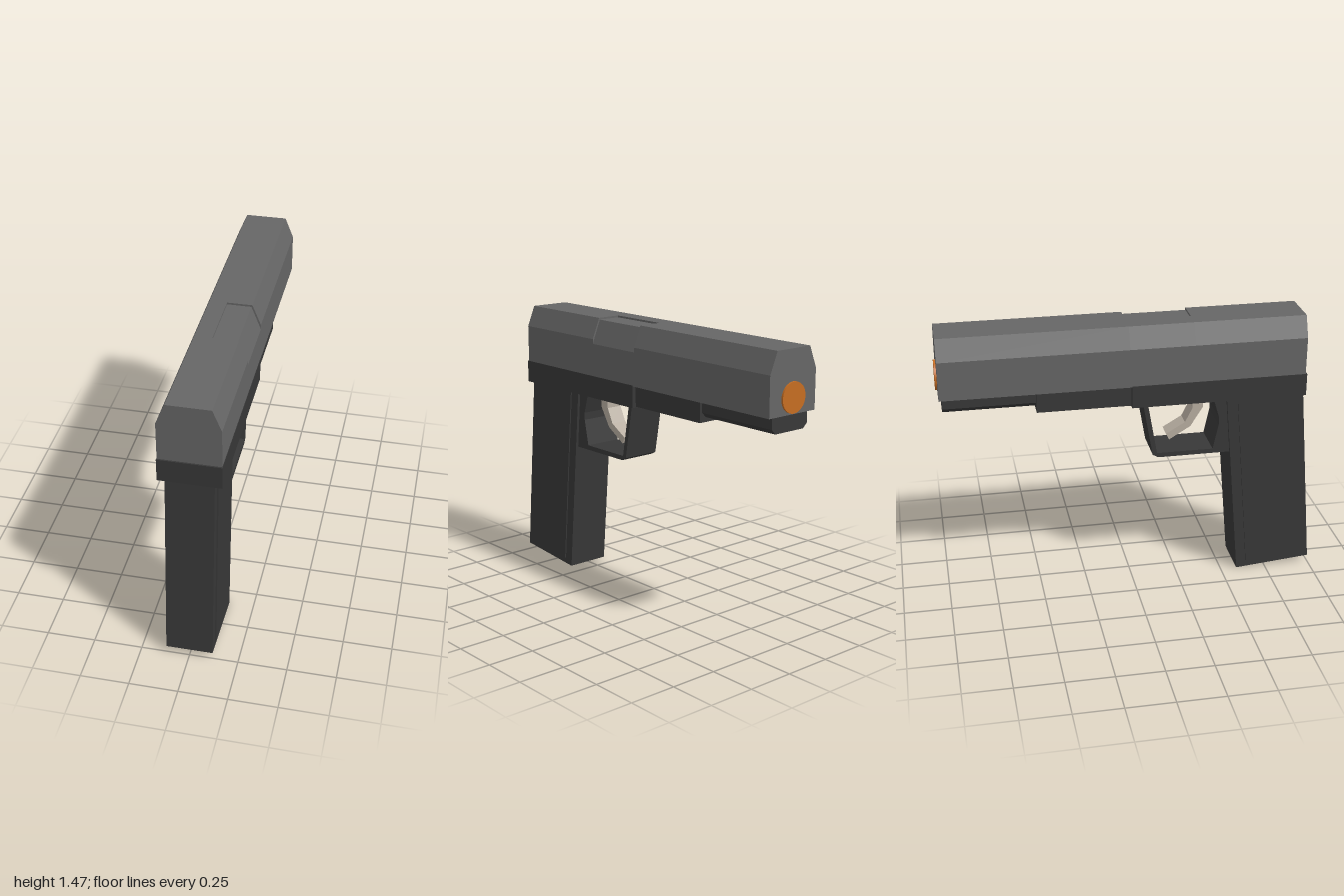
import * as THREE from 'three';

export function createModel() {
  const group = new THREE.Group();
  const material = (name, color) => {
    const m = new THREE.MeshStandardMaterial({ color });
    m.name = name;
    return m;
  };
  const slideGrey = material('slide grey', 0x666666);
  const frameBlack = material('frame black', 0x383838);
  const triggerTan = material('trigger tan', 0xb9afa2);
  const muzzleOrange = material('muzzle orange', 0xc66d22);

  const add = (name, geometry, mat) => {
    const mesh = new THREE.Mesh(geometry, mat);
    mesh.name = name;
    group.add(mesh);
  };
  const extrude = (points, depth) => new THREE.ExtrudeGeometry(
    new THREE.Shape(points.map(([x, y]) => new THREE.Vector2(x, y))),
    { depth, bevelEnabled: false });
  // Side profile of [z, y] points, extruded to x = -halfWidth..halfWidth
  const side = (points, halfWidth) =>
    extrude(points, halfWidth * 2).rotateY(-Math.PI / 2).translate(halfWidth, 0, 0);
  // Cross-section of [x, y] points, extruded from z0 to z1
  const section = (points, z0, z1) => extrude(points, z1 - z0).translate(0, 0, z0);

  // Slide with bevelled top, split around the shallow ejection port
  const full = [[-0.155, 1.16], [0.155, 1.16], [0.155, 1.365], [0.11, 1.475],
    [-0.11, 1.475], [-0.155, 1.365]];
  const port = [[-0.155, 1.16], [0.155, 1.16], [0.155, 1.34], [0.105, 1.465],
    [-0.02, 1.465], [-0.02, 1.475], [-0.11, 1.475], [-0.155, 1.365]];
  add('slideRear', section(full, 0.32, 0.91), slideGrey);
  add('ejectionPort', section(port, -0.02, 0.32), slideGrey);
  add('slideFront', section(full, -0.99, -0.02), slideGrey);

  // Muzzle disc
  add('muzzle', new THREE.CylinderGeometry(0.077, 0.077, 0.01, 32)
    .rotateX(Math.PI / 2).translate(0, 1.242, -0.995), muzzleOrange);

  // Frame: wide rear, narrower dust cover, bevelled rail
  const box = (halfWidth, y0, y1, z0, z1) =>
    section([[-halfWidth, y0], [halfWidth, y0], [halfWidth, y1], [-halfWidth, y1]], z0, z1);
  add('frame', box(0.157, 1.045, 1.165, -0.01, 0.918), frameBlack);
  add('dustCover', box(0.135, 1.05, 1.165, -0.5, -0.01), frameBlack);
  add('rail', section([[-0.095, 1.075], [0.095, 1.075], [0.12, 1.1], [0.12, 1.165],
    [-0.12, 1.165], [-0.12, 1.1]], -0.975, -0.5), frameBlack);

  // Slanted grip with raised side panels
  add('grip', side([[0.914, 1.05], [0.5, 1.05], [0.59, 0.003], [1.0, 0.04]], 0.12), frameBlack);
  add('gripPanels', side([[0.86, 1.05], [0.557, 1.05], [0.641, 0.04], [0.945, 0.065]], 0.127), frameBlack);

  // Trigger guard, joined to the front of the grip
  add('triggerGuard', side([[0.52, 1.05], [0.55, 0.725], [0.14, 0.725], [0.11, 0.742],
    [0.055, 1.05], [0.08, 1.05], [0.133, 0.75], [0.435, 0.75], [0.465, 0.89],
    [0.465, 0.93], [0.43, 1.05]], 0.105), frameBlack);

  // Curved trigger
  add('trigger', side([[0.39, 1.05], [0.39, 0.97], [0.325, 0.865], [0.21, 0.795],
    [0.193, 0.83], [0.295, 0.89], [0.335, 0.97], [0.335, 1.05]], 0.045), triggerTan);

  return group;
}
